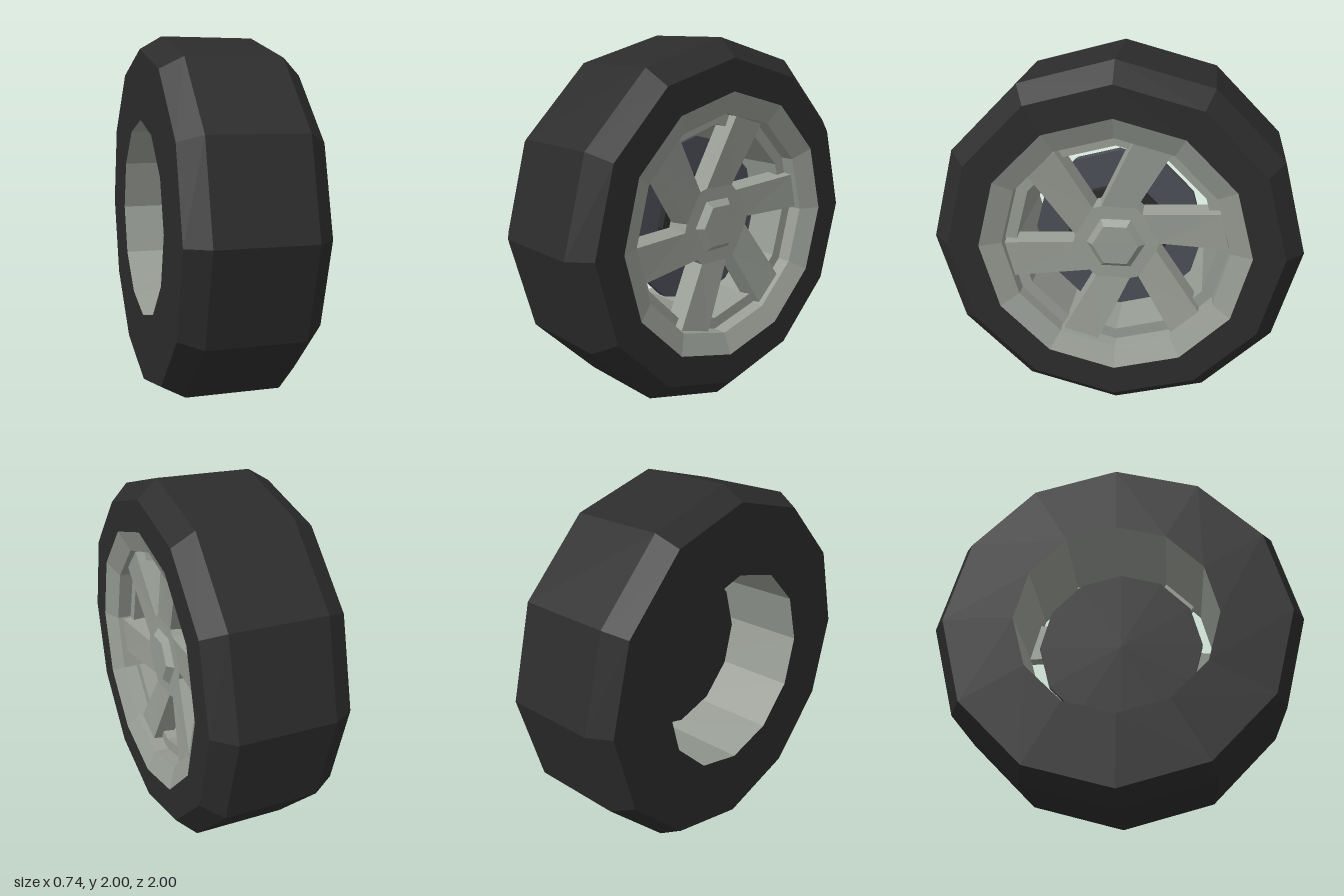
import * as THREE from 'three';

const SIDES = 12;

export function createModel() {
  const model = new THREE.Group();
  model.name = 'wheel';
  const wheel = new THREE.Group();
  wheel.name = 'wheelAssembly';
  wheel.position.y = 1;
  model.add(wheel);

  const material = (name, color) => new THREE.MeshStandardMaterial({ name, color, flatShading: true });
  const rubber = material('blackRubber', 0x2c2c2c);
  const alloy = material('greyAlloy', 0x979c94);
  const steel = material('slateSteel', 0x4b4e56);

  const add = (name, geometry, mat) => {
    const mesh = new THREE.Mesh(geometry, mat);
    mesh.name = name;
    wheel.add(mesh);
    return mesh;
  };
  // Revolve [radius, x] points about the axle
  const revolve = (name, points, mat, sides = SIDES) => {
    const geometry = new THREE.LatheGeometry(points.map(([r, x]) => new THREE.Vector2(r, x)), sides);
    geometry.rotateZ(-Math.PI / 2);
    return add(name, geometry, mat);
  };

  // Tyre with chamfered shoulders, open toward the rim
  revolve('tyre', [[0.55, -0.37], [0.93, -0.37], [1, -0.25], [1, 0.265], [0.9, 0.37], [0.73, 0.37]], rubber);

  // Rim: sloping lip, step, ledge and barrel
  revolve('rim', [[0.73, 0.37], [0.615, 0.32], [0.615, 0.24], [0.55, 0.24], [0.55, -0.37]], alloy);

  // Brake disc with dark backing and carrier
  revolve('brakeDisc', [[0.47, 0.04], [0.47, 0.08], [0, 0.08]], steel);
  revolve('discBacking', [[0, 0.035], [0.47, 0.035], [0.47, 0.04]], rubber);
  revolve('discCarrier', [[0.28, 0.08], [0.28, 0.12], [0, 0.12]], rubber);

  // Points in the wheel plane from radius and angle in degrees
  const polar = (r, degrees) => new THREE.Vector2(
    r * Math.cos(THREE.MathUtils.degToRad(degrees)), r * Math.sin(THREE.MathUtils.degToRad(degrees)));

  // Hub plate whose corners meet the spoke roots
  const hubCorners = [];
  for (let k = 0; k < 6; k++) hubCorners.push(polar(0.235, 62 + 60 * k), polar(0.225, 110 + 60 * k));
  const hub = new THREE.ExtrudeGeometry(new THREE.Shape(hubCorners), { depth: 0.13, bevelEnabled: false });
  hub.rotateY(Math.PI / 2);
  hub.translate(0.12, 0, 0);
  add('hub', hub, alloy);

  // Swept spokes: slightly dished outward, wider at the back
  const spokeShape = new THREE.Shape([polar(0.235, 62), polar(0.606, 61), polar(0.597, 80.5), polar(0.225, 110)]);
  const spoke = new THREE.ExtrudeGeometry(spokeShape, { depth: 0.11, bevelEnabled: false });
  const p = spoke.attributes.position;
  for (let i = 0; i < p.count; i++) {
    const x = p.getX(i), y = p.getY(i), z = p.getZ(i);
    const side = z < 0.01 ? 0.014 * Math.sign(0.9 * x - 0.43 * y + 0.07) : 0;
    const dish = Math.hypot(x, y) > 0.4 ? 0.04 : 0;
    p.setXYZ(i, x + 0.9 * side, y - 0.43 * side, z + dish);
  }
  spoke.rotateY(Math.PI / 2);
  spoke.translate(0.14, 0, 0);
  spoke.computeVertexNormals();
  for (let k = 0; k < 6; k++) add('spoke' + (k + 1), spoke, alloy).rotation.x = k * Math.PI / 3;

  // Bevelled hexagonal centre cap
  revolve('centreCap', [[0.16, 0.25], [0.125, 0.285], [0, 0.285]], alloy, 6);

  return model;
}
